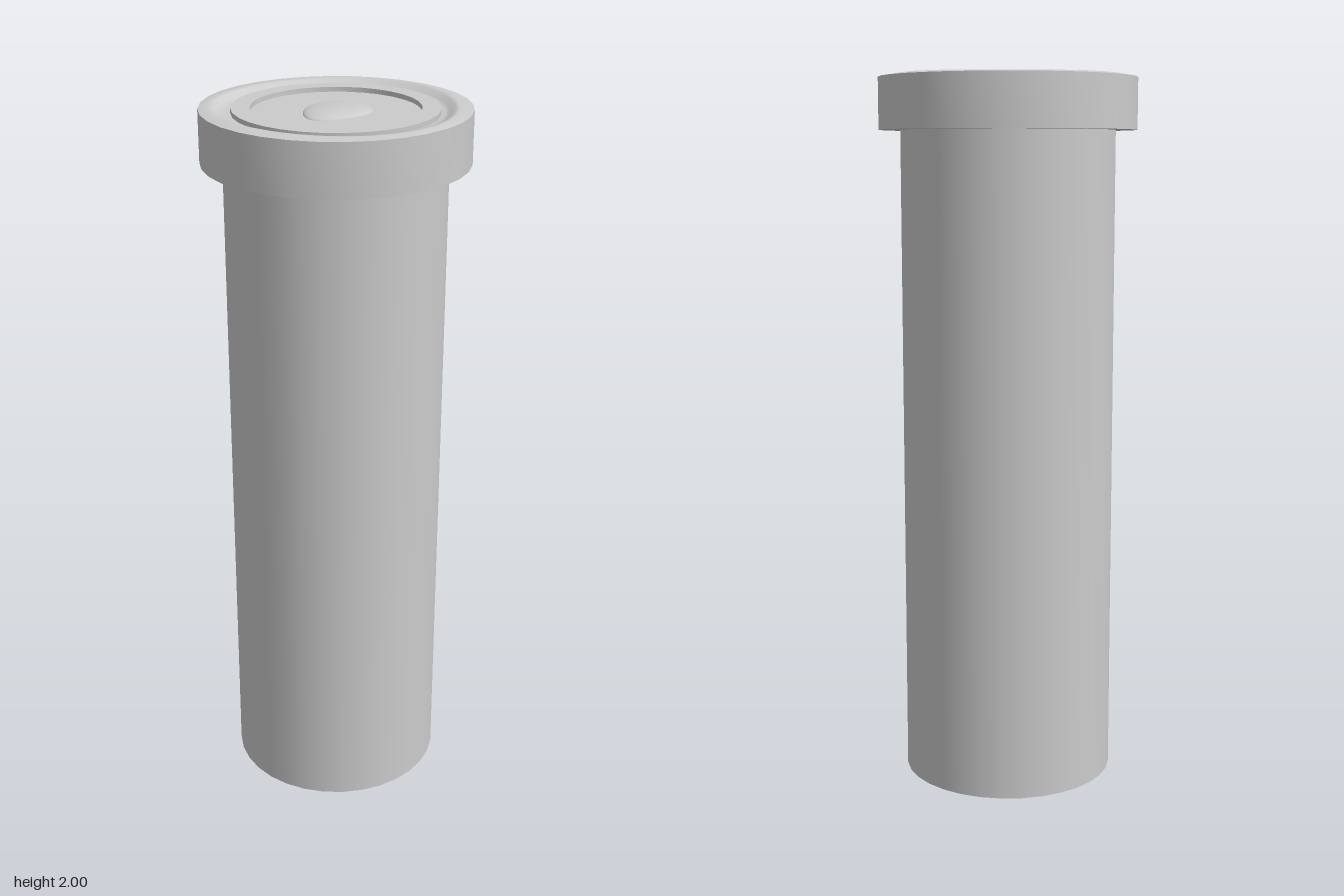
import * as THREE from 'three';
import { mergeVertices, toCreasedNormals } from 'three/addons/utils/BufferGeometryUtils.js';

const SIDES = 32;

function lathe(profile) {
  return new THREE.LatheGeometry(profile.map(([r, y]) => new THREE.Vector2(r, y)), SIDES);
}

// Weld the seam so that a reshaped surface shades smoothly
function weld(geometry) {
  geometry.deleteAttribute('uv');
  geometry.deleteAttribute('normal');
  const welded = mergeVertices(geometry, 1e-5);
  welded.computeVertexNormals();
  return welded;
}

export function createModel() {
  const model = new THREE.Group();
  const material = new THREE.MeshStandardMaterial({ color: 0xcccccc });
  const add = (name, geometry) => {
    const mesh = new THREE.Mesh(geometry, material);
    mesh.name = name;
    model.add(mesh);
  };

  // Long round shaft
  const shaft = new THREE.CylinderGeometry(0.3, 0.3, 1.86, SIDES);
  shaft.translate(0, 0.93, 0);
  add('shaft', shaft);

  // Wide head: underside and outer wall
  add('headWall', toCreasedNormals(lathe([[0.29, 1.85], [0.36, 1.85], [0.36, 1.993]]), 0.6));

  // Uneven poured border: the crest wanders in radius and height around the head
  const border = lathe([[0.36, 1.993], [0.345, 1.995], [0.328, 1.998], [0.316, 1.996],
    [0.303, 1.985], [0.29, 1.981], [0.275, 1.98]]);
  const p = border.attributes.position;
  for (let i = 0; i < p.count; i++) {
    const x = p.getX(i), z = p.getZ(i);
    const r = Math.hypot(x, z), a = Math.atan2(z, x);
    const fade = Math.sin(Math.PI * THREE.MathUtils.clamp((0.36 - r) / 0.085, 0, 1));
    const shift = 1 + fade * 0.02 * (Math.sin(3 * a + 0.5) + 0.5 * Math.sin(5 * a)) / r * 0.3;
    const lift = 0.0015 * fade * Math.sin(4 * a + 1);
    p.setXYZ(i, x * shift, Math.min(2, p.getY(i) + lift), z * shift);
  }
  add('border', weld(border));

  // Raised ring around a sunken centre disc
  add('sealFace', toCreasedNormals(lathe([[0.275, 1.978], [0.275, 1.993], [0.225, 1.993],
    [0.225, 1.98], [0, 1.98]]), 0.6));

  // Low domed teardrop, narrowing towards the front
  const drop = new THREE.SphereGeometry(1, 40, 12, 0, Math.PI * 2, 0, Math.PI / 2);
  const d = drop.attributes.position;
  for (let i = 0; i < d.count; i++) {
    const z = d.getZ(i);
    d.setXYZ(i, d.getX(i) * 0.086 * (1 - 0.25 * z), 1.979 + d.getY(i) * 0.016, 0.0065 + z * 0.1065);
  }
  add('teardrop', weld(drop));

  return model;
}
